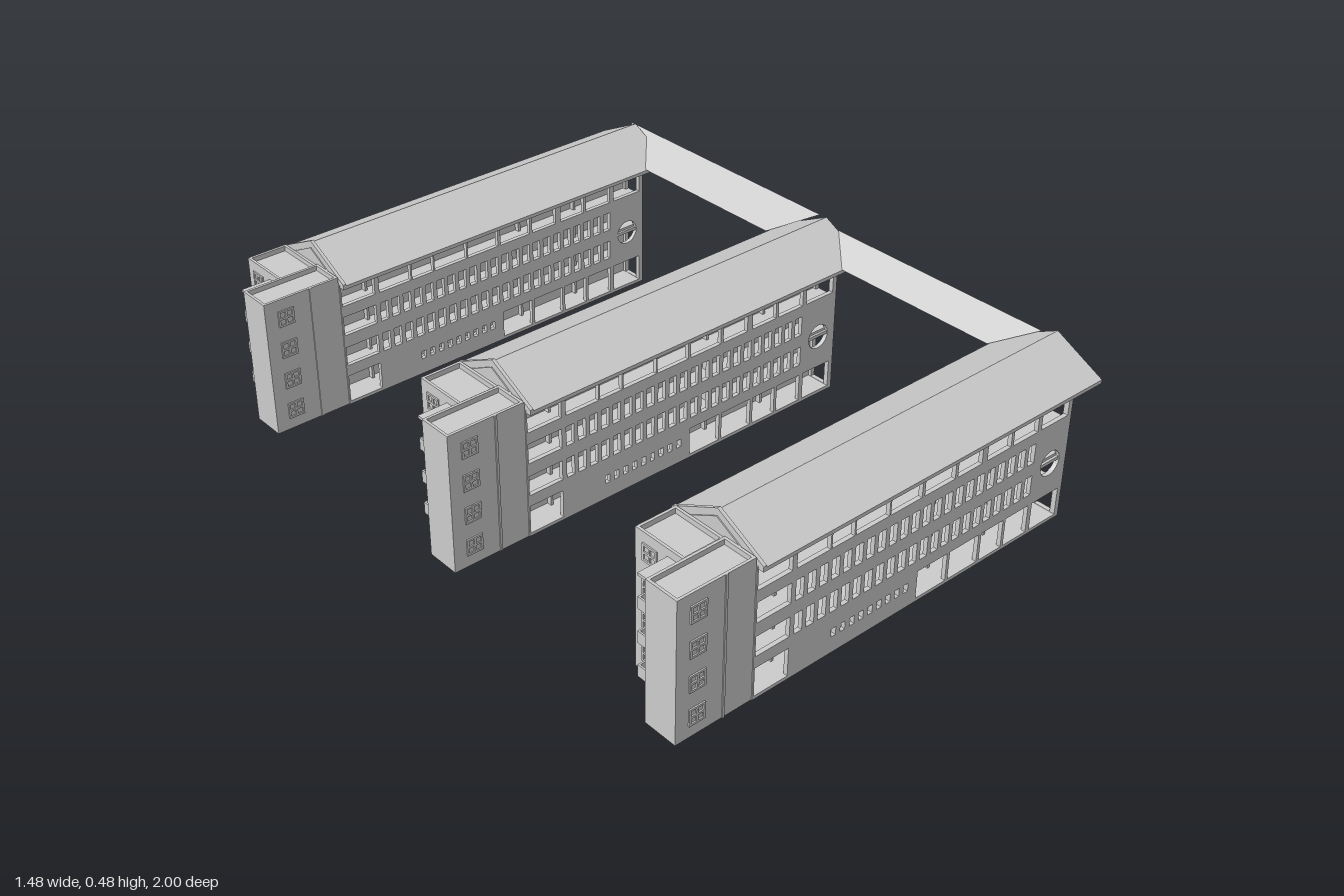
import * as THREE from 'three';

const mat = new THREE.MeshStandardMaterial({ color: 0xcccccc, flatShading: true });
const sheetMat = new THREE.MeshStandardMaterial({ color: 0xcccccc, flatShading: true, side: THREE.DoubleSide });

function add(group, name, geometry, material = mat) {
  const mesh = new THREE.Mesh(geometry, material);
  mesh.name = name;
  group.add(mesh);
  return mesh;
}

// Box given by its minimum and maximum corners
function box(group, name, x0, x1, y0, y1, z0, z1) {
  const mesh = add(group, name, new THREE.BoxGeometry(x1 - x0, y1 - y0, z1 - z0));
  mesh.position.set((x0 + x1) / 2, (y0 + y1) / 2, (z0 + z1) / 2);
  return mesh;
}

function rectPath(P, x0, x1, y0, y1) {
  const p = new P();
  p.moveTo(x0, y0);
  p.lineTo(x1, y0);
  p.lineTo(x1, y1);
  p.lineTo(x0, y1);
  p.closePath();
  return p;
}

// Upright plate with rectangular openings [x0, x1, y0, y1]
function plate(outline, openings, depth, extra = []) {
  const shape = rectPath(THREE.Shape, ...outline);
  openings.forEach(o => shape.holes.push(rectPath(THREE.Path, ...o)));
  shape.holes.push(...extra);
  return new THREE.ExtrudeGeometry(shape, { depth, bevelEnabled: false, curveSegments: 12 });
}

// Profile in (z, y), extruded along x from x0 to x1
function alongX(points, x0, x1) {
  const shape = new THREE.Shape(points.map(p => new THREE.Vector2(...p)));
  return new THREE.ExtrudeGeometry(shape, { depth: x1 - x0, bevelEnabled: false })
    .rotateY(-Math.PI / 2).translate(x1, 0, 0);
}

// Four-pane window frame standing slightly proud of a wall
function paneWindow(group, x, y, z, angle, w = 0.05, h = 0.05) {
  const b = 0.006, a = w / 2, c = h / 2;
  const panes = [];
  for (const sx of [-1, 1]) for (const sy of [-1, 1]) {
    const xs = [sx * b / 2, sx * (a - b)].sort((m, n) => m - n);
    const ys = [sy * b / 2, sy * (c - b)].sort((m, n) => m - n);
    panes.push([...xs, ...ys]);
  }
  const mesh = add(group, 'paneWindow', plate([-a, a, -c, c], panes, 0.004));
  mesh.position.set(x, y, z);
  mesh.rotation.y = angle;
}

// Flat-topped block with a low parapet
function parapetBlock(group, name, x0, x1, z0, z1, h) {
  box(group, name, x0, x1, 0, h - 0.015, z0, z1);
  const t = 0.008;
  const rim = plate([x0, x1, -z1, -z0], [[x0 + t, x1 - t, -z1 + t, -z0 - t]], 0.015);
  add(group, name + 'Parapet', rim.rotateX(-Math.PI / 2).translate(0, h - 0.015, 0));
}

function frontGallery(g) {
  const holes = [];
  // Top floor bays
  const top = [-0.495, -0.385, -0.37, -0.26, -0.255, -0.18, -0.175, -0.06, -0.055, 0.055,
    0.065, 0.175, 0.185, 0.275, 0.295, 0.385, 0.395, 0.49, 0.505, 0.61];
  for (let i = 0; i < top.length; i += 2) holes.push([top[i], top[i + 1], 0.325, 0.385]);
  // Two middle floors with a row of narrow openings
  for (const y of [0.13, 0.23]) {
    holes.push([-0.495, -0.385, y, y + 0.06]);
    for (let i = 0; i < 22; i++) {
      const x = -0.37 + i * 0.0397;
      holes.push([x, x + 0.026, y, y + 0.06]);
    }
  }
  // Ground floor bays and small slits
  const low = [-0.495, -0.385, 0.065, 0.175, 0.185, 0.295, 0.305, 0.39, 0.4, 0.49, 0.505, 0.61];
  for (let i = 0; i < low.length; i += 2) holes.push([low[i], low[i + 1], 0.01, 0.095]);
  for (let i = 0; i < 9; i++) holes.push([-0.24 + i * 0.032, -0.224 + i * 0.032, 0.05, 0.075]);
  // Round window with a cross bar
  const round = new THREE.Path();
  round.absarc(0.56, 0.197, 0.038, 0, Math.PI * 2, true);
  const wall = plate([-0.5, 0.625, 0, 0.395], holes, 0.013, [round]);
  add(g, 'galleryFrontWall', wall.translate(0, 0, 0.125));
  box(g, 'roundWindowBar', 0.52, 0.6, 0.192, 0.202, 0.128, 0.135);
  // Floors of the gallery
  for (const y of [0, 0.1, 0.2, 0.297, 0.388]) box(g, 'galleryFloor', -0.5, 0.612, y, y + 0.009, 0.055, 0.127);
  for (const x of [-0.378, 0.18, 0.395]) box(g, 'galleryPartition', x, x + 0.008, 0, 0.39, 0.055, 0.075);
}

function backFacade(g) {
  const holes = [], n = 8, pitch = 1.1 / n;
  for (let i = 0; i < n; i++) {
    const x = -0.487 + i * pitch;
    for (const y of [0.03, 0.125, 0.22]) {
      const wide = [x + 0.005, x + 0.092, y, y + 0.06];
      const slim = [x + 0.104, x + 0.127, y, y + 0.06];
      holes.push(wide, slim);
      // Mullion, transom and sill
      box(g, 'windowMullion', x + 0.046, x + 0.051, y, y + 0.06, -0.135, -0.127);
      box(g, 'windowTransom', x + 0.005, x + 0.092, y + 0.04, y + 0.044, -0.135, -0.127);
      box(g, 'windowSill', x + 0.002, x + 0.095, y - 0.007, y, -0.143, -0.138);
    }
  }
  add(g, 'backWall', plate([-0.5, 0.625, 0, 0.3], holes, 0.012).translate(0, 0, -0.14));
  // Clerestory set back below the eaves
  const slots = [];
  for (let i = 0; i < 16; i++) {
    const x = -0.485 + i * pitch / 2;
    slots.push([x, x + (i % 2 ? 0.03 : 0.05), 0.335, 0.375]);
  }
  add(g, 'clerestoryWall', plate([-0.5, 0.625, 0.3, 0.4], slots, 0.01).translate(0, 0, -0.133));
}

function stairEnd(g) {
  // Front tower, rear block and the balconies between them
  parapetBlock(g, 'stairTower', -0.74, -0.5, 0.03, 0.135, 0.42);
  parapetBlock(g, 'rearBlock', -0.625, -0.5, -0.137, 0.031, 0.415);
  for (const y of [0.06, 0.16, 0.26, 0.36]) {
    paneWindow(g, -0.675, y, 0.135, 0);
    paneWindow(g, -0.595, y, -0.137, Math.PI, 0.04);
    paneWindow(g, -0.535, y, -0.137, Math.PI, 0.04);
    paneWindow(g, -0.625, y, -0.085, -Math.PI / 2);
  }
  for (const y of [0.09, 0.19, 0.29]) {
    box(g, 'balconyFloor', -0.715, -0.62, y, y + 0.008, -0.025, 0.032);
    box(g, 'balconyFrontRail', -0.715, -0.62, y + 0.008, y + 0.035, -0.025, -0.02);
    box(g, 'balconySideRail', -0.715, -0.71, y + 0.008, y + 0.035, -0.02, 0.032);
  }
  box(g, 'balconyCanopy', -0.715, -0.62, 0.385, 0.393, -0.025, 0.032);
  box(g, 'towerPilaster', -0.595, -0.588, 0, 0.42, 0.134, 0.138);
}

function building() {
  const g = new THREE.Group();
  g.name = 'building';
  // Solid core with a gabled top
  add(g, 'core', alongX([[-0.125, 0], [0.06, 0], [0.06, 0.395], [0.125, 0.395], [0, 0.46], [-0.125, 0.395]], -0.5, 0.612));
  frontGallery(g);
  backFacade(g);
  stairEnd(g);
  // Right end wall, open only at the gallery
  const ends = [[0.01, 0.095], [0.11, 0.19], [0.215, 0.29], [0.305, 0.385]].map(([a, b]) => [0.07, 0.122, a, b]);
  add(g, 'endWall', plate([-0.132, 0.137, 0, 0.395], ends, 0.014).rotateY(-Math.PI / 2).translate(0.625, 0, 0));
  // Gabled roof slab and the raised verge at its left end
  add(g, 'roof', alongX([[-0.155, 0.387], [0, 0.463], [0.155, 0.387], [0.155, 0.398], [0, 0.476], [-0.155, 0.398]], -0.49, 0.715));
  add(g, 'roofVerge', alongX([[-0.155, 0.387], [0.155, 0.387], [0.155, 0.403], [0, 0.481], [-0.155, 0.403]], -0.497, -0.487));
  return g;
}

// Thin sloping canopy joining two roofs, low along its inner edge
function linkRoof(name, corners) {
  const geo = new THREE.BufferGeometry();
  geo.setAttribute('position', new THREE.Float32BufferAttribute(corners.flat(), 3));
  geo.setIndex([0, 1, 2, 0, 2, 3]);
  geo.computeVertexNormals();
  const mesh = new THREE.Mesh(geo, sheetMat);
  mesh.name = name;
  return mesh;
}

export function createModel() {
  const model = new THREE.Group();
  model.name = 'buildingComplex';
  const spacing = 0.845;
  for (const i of [-1, 0, 1]) {
    const b = building();
    b.position.z = i * spacing;
    model.add(b);
  }
  model.add(linkRoof('frontLinkRoof', [[0.625, 0.4, 0.155], [0.625, 0.4, 0.69], [0.715, 0.453, 0.795], [0.715, 0.453, 0.05]]));
  model.add(linkRoof('backLinkRoof', [[0.625, 0.4, -0.69], [0.625, 0.4, -0.155], [0.735, 0.46, -0.045], [0.735, 0.46, -0.89]]));
  return model;
}
